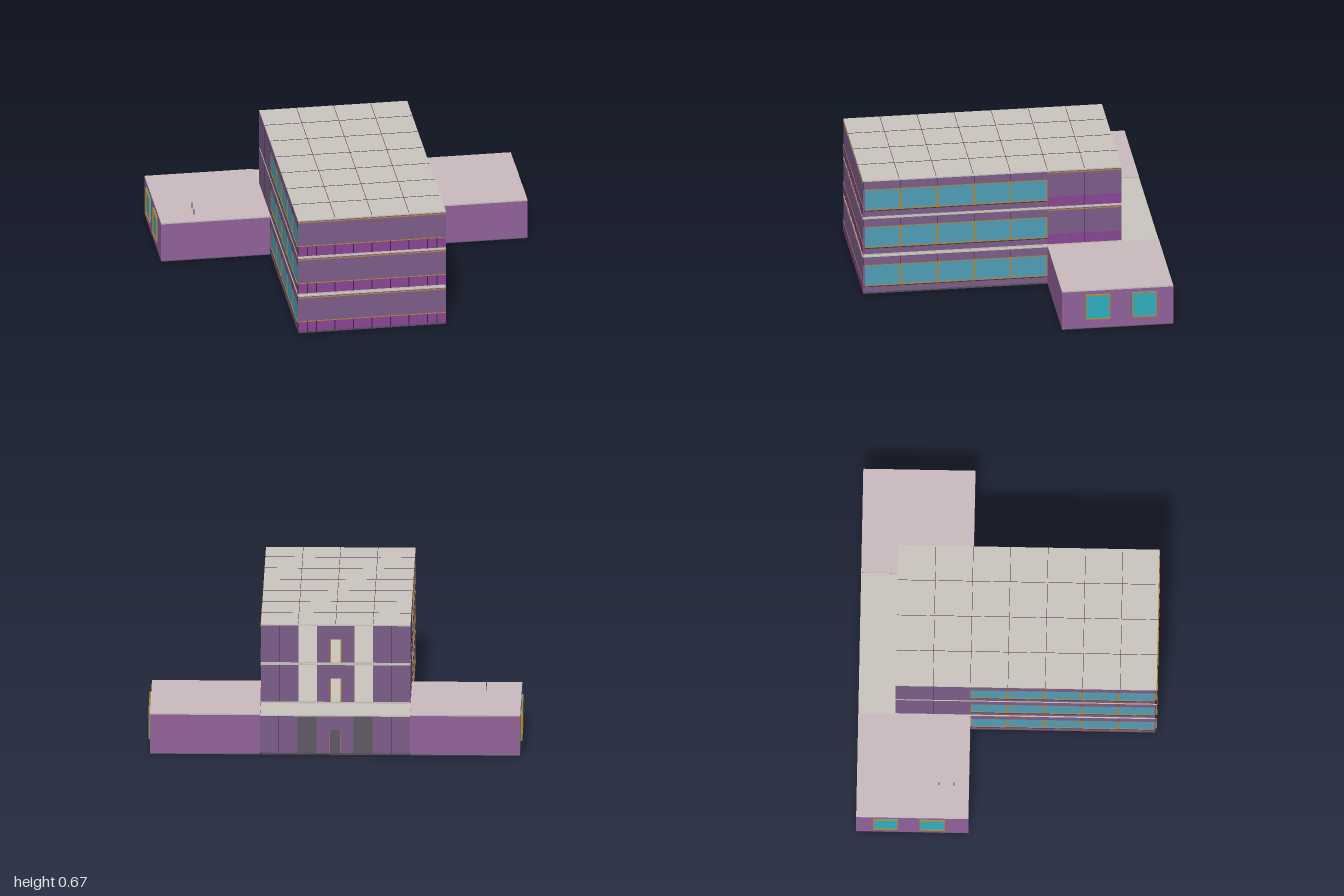
import * as THREE from 'three';

const mat = (color) => new THREE.MeshStandardMaterial({ color, side: THREE.DoubleSide });
const M = {
  wall: mat(0x7b5d88), wing: mat(0x92629a), panel: mat(0x8b4596), joint: mat(0x3f2a48),
  glass: mat(0x4f9fb8), wingGlass: mat(0x2fb0c0), frame: mat(0xb8862f),
  slab: mat(0xcbc6bf), wingRoof: mat(0xcbbcbe), dark: mat(0x55505a),
};

// Box given by its lower and upper corners
function box(parent, name, m, x0, x1, y0, y1, z0, z1) {
  const mesh = new THREE.Mesh(new THREE.BoxGeometry(x1 - x0, y1 - y0, z1 - z0), m);
  mesh.position.set((x0 + x1) / 2, (y0 + y1) / 2, (z0 + z1) / 2);
  mesh.name = name;
  parent.add(mesh);
  return mesh;
}

// Box on a side wall: s = +1 or -1 picks the side, a..b is the distance from the centre
function sideBox(parent, name, m, s, a, b, y0, y1, z0, z1) {
  return box(parent, name, m, s > 0 ? a : -b, s > 0 ? b : -a, y0, y1, z0, z1);
}

// Four thin bars around an opening in a side wall
function sideFrame(parent, s, a, b, y0, y1, z0, z1, t) {
  sideBox(parent, 'windowFrame', M.frame, s, a, b, y0, y0 + t, z0, z1);
  sideBox(parent, 'windowFrame', M.frame, s, a, b, y1 - t, y1, z0, z1);
  sideBox(parent, 'windowFrame', M.frame, s, a, b, y0 + t, y1 - t, z0, z0 + t);
  sideBox(parent, 'windowFrame', M.frame, s, a, b, y0 + t, y1 - t, z1 - t, z1);
}

const H = 0.205, W = 0.4, T = 0.01;

// Long side with a sill, a header and a strip of five windows
function windowWall(g, s) {
  sideBox(g, 'sillWall', M.wall, s, W - T, W, 0, 0.035, -0.2, 0.79);
  sideBox(g, 'headerWall', M.wall, s, W - T, W, 0.16, H, -0.2, 0.79);
  sideBox(g, 'sillJoint', M.joint, s, W - T, W + 0.001, 0.031, 0.035, -0.2, 0.79);
  for (let i = 0; i < 5; i++) {
    const z0 = -0.2 + i * 0.198, z1 = z0 + 0.198;
    sideBox(g, 'windowGlass', M.glass, s, W - 0.007, W - 0.003, 0.035, 0.16, z0, z1);
    sideFrame(g, s, W - T, W, 0.035, 0.16, z0, z1, 0.005);
    sideBox(g, 'wallJoint', M.joint, s, W - T, W + 0.001, 0.16, H, z1 - 0.001, z1 + 0.001);
  }
}

// Front with a row of spandrel panels below a plain wall
function frontWall(g) {
  box(g, 'frontWall', M.wall, -W, W, 0.06, H, 0.785, 0.795);
  box(g, 'frontTopTrim', M.frame, -W, W, 0.195, 0.2, 0.786, 0.797);
  box(g, 'frontSillTrim', M.frame, -W, W, 0.057, 0.061, 0.786, 0.797);
  const xs = [-0.4, -0.35, -0.3, -0.2, -0.1, 0, 0.1, 0.2, 0.3, 0.35, 0.4];
  for (let i = 0; i + 1 < xs.length; i++) {
    box(g, 'frontPanel', M.panel, xs[i], xs[i + 1], 0, 0.057, 0.785, 0.796);
    box(g, 'panelJoint', M.joint, xs[i] - 0.002, xs[i] + 0.002, 0, 0.057, 0.786, 0.798);
  }
}

// Back with two full-height openings and a doorway between them
function backWall(g, z) {
  const wall = (x0, x1, y0, y1) => box(g, 'backWall', M.wall, x0, x1, y0, y1, z, z + T);
  for (const s of [1, -1]) {
    sideBox(g, 'backWall', M.wall, s, 0.2, W, 0, H, z, z + T);
    sideBox(g, 'backPier', M.wall, s, 0.03, 0.1, 0, H, z, z + T);
    sideBox(g, 'backJoint', M.joint, s, 0.299, 0.301, 0, H, z - 0.001, z + T);
    sideBox(g, 'doorFrame', M.frame, s, 0.026, 0.03, 0, 0.13, z, z + T);
  }
  wall(-0.03, 0.03, 0.13, H);
}

function buildFloor(index, base) {
  const g = new THREE.Group();
  g.name = ['groundFloor', 'middleFloor', 'topFloor'][index];
  g.position.y = base;
  const back = index === 0 ? -0.8 : -0.6;
  box(g, 'floorSlab', index ? M.slab : M.dark, -W + 0.002, W - 0.002, index ? -0.01 : -base, 0.002, back + 0.002, 0.793);
  frontWall(g);
  backWall(g, back);
  for (const s of [1, -1]) {
    windowWall(g, s);
    sideBox(g, 'rearSideWall', M.wall, s, W - T, W, 0, H, back + T, -0.2);
    for (const z of [-0.2, -0.4]) {
      sideBox(g, 'wallJoint', M.joint, s, W - T, W + 0.001, 0, H, z - 0.001, z + 0.001);
    }
  }
  // Spandrel panels on the rear part of the left side of the upper floors
  if (index > 0) {
    for (let i = 0; i < 4; i++) {
      const z = -0.6 + i * 0.1;
      box(g, 'sidePanel', M.panel, W, W + 0.002, 0, 0.058, z + 0.002, z + 0.098);
    }
    box(g, 'sideTrim', M.frame, W, W + 0.002, 0.195, 0.2, -0.6, -0.2);
  }
  box(g, 'ceiling', M.slab, -W, W, H, H + 0.007, back, 0.795);
  return g;
}

function buildWing(s) {
  const g = new THREE.Group();
  g.name = s > 0 ? 'leftWing' : 'rightWing';
  sideBox(g, 'wingWalls', M.wing, s, W + 0.001, 0.99, 0.004, 0.22, -0.8, -0.2);
  sideBox(g, 'wingRoof', M.wingRoof, s, W + 0.001, 0.99, 0.22, 0.227, -0.8, -0.2);
  sideBox(g, 'wingBase', M.dark, s, W + 0.001, 0.99, 0, 0.004, -0.8, -0.2);
  for (const z of [-0.71, -0.46]) {
    sideBox(g, 'wingGlass', M.wingGlass, s, 0.988, 0.994, 0.055, 0.2, z, z + 0.135);
    sideFrame(g, s, 0.988, 1, 0.055, 0.2, z, z + 0.135, 0.005);
  }
  return g;
}

export function createModel() {
  const model = new THREE.Group();
  model.name = 'building';
  [0.01, 0.235, 0.455].forEach((base, i) => model.add(buildFloor(i, base)));
  model.add(buildWing(1), buildWing(-1));

  // Thin seams of the roof tiles
  for (let i = -1; i <= 1; i++) box(model, 'roofSeam', M.joint, i * 0.2 - 0.001, i * 0.2 + 0.001, 0.671, 0.6725, -0.6, 0.795);
  for (let i = -2; i <= 3; i++) box(model, 'roofSeam', M.joint, -W, W, 0.671, 0.6725, i * 0.2 - 0.001, i * 0.2 + 0.001);

  // Two small posts on the right wing roof
  for (const z of [-0.36, -0.28]) box(model, 'roofPost', M.dark, -0.802, -0.798, 0.227, 0.26, z - 0.002, z + 0.002);

  return model;
}
